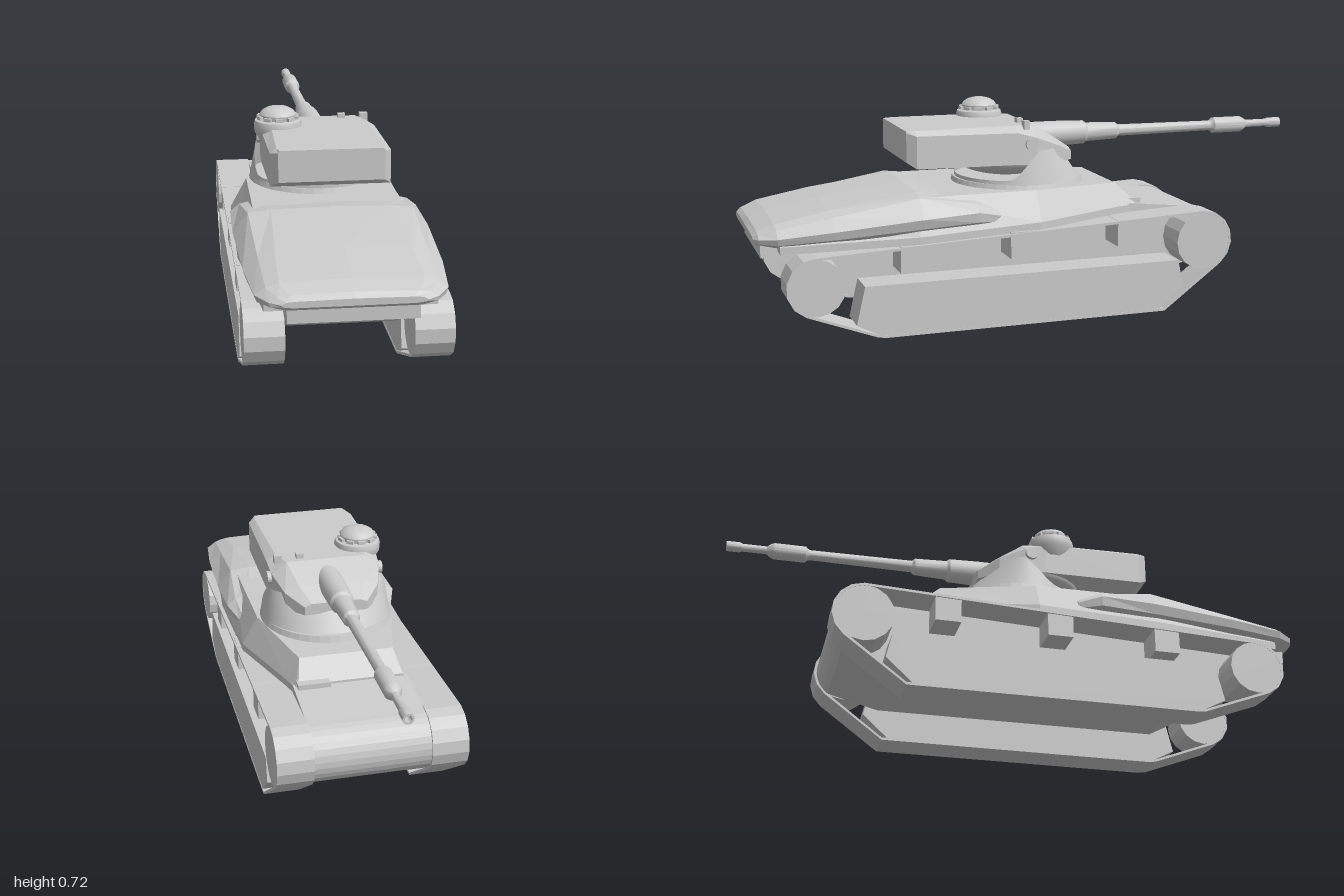
import * as THREE from 'three';
import { toCreasedNormals } from 'three/addons/utils/BufferGeometryUtils.js';

const flat = new THREE.MeshStandardMaterial({ color: 0xcccccc, flatShading: true });
const smooth = new THREE.MeshStandardMaterial({ color: 0xcccccc, side: THREE.DoubleSide });

// Skin mirrored half outlines [x, y] (top centre to bottom centre), ordered by rising z.
function loft(sections, crease = 0.5) {
  const rings = sections.map(([z, half]) => {
    const other = half.filter(p => p[0] > 0).reverse().map(([x, y]) => [-x, y]);
    return [...half, ...other].map(([x, y]) => [x, y, z]);
  });
  const pos = [], n = rings[0].length;
  const tri = (...pts) => pts.forEach(p => pos.push(...p));
  for (let i = 0; i < rings.length - 1; i++) {
    for (let j = 0; j < n; j++) {
      const k = (j + 1) % n, a = rings[i], b = rings[i + 1];
      tri(a[j], b[j], a[k]);
      tri(a[k], b[j], b[k]);
    }
  }
  const first = rings[0], last = rings[rings.length - 1];
  for (let j = 1; j < n - 1; j++) {
    tri(first[0], first[j], first[j + 1]);
    tri(last[0], last[j + 1], last[j]);
  }
  const g = new THREE.BufferGeometry();
  g.setAttribute('position', new THREE.Float32BufferAttribute(pos, 3));
  return toCreasedNormals(g, crease);
}

// Extrude a side outline of [z, y] points across x, centred on x.
function sidePlate(points, width, x = 0, hole) {
  const v = pts => pts.map(p => new THREE.Vector2(p[0], p[1]));
  const shape = new THREE.Shape(v(points));
  if (hole) shape.holes.push(new THREE.Path(v(hole)));
  const g = new THREE.ExtrudeGeometry(shape, { depth: width, bevelEnabled: false });
  return g.rotateY(-Math.PI / 2).translate(x + width / 2, 0, 0);
}

// Arc of [z, y] points around a centre, angles in degrees.
function arc(z, y, r, from, to, steps) {
  return Array.from({ length: steps + 1 }, (_, i) => {
    const a = THREE.MathUtils.degToRad(from + (to - from) * i / steps);
    return [z + r * Math.cos(a), y + r * Math.sin(a)];
  });
}

function add(parent, name, geometry, material = flat, x = 0, y = 0, z = 0) {
  const m = new THREE.Mesh(geometry, material);
  m.name = name;
  m.position.set(x, y, z);
  parent.add(m);
  return m;
}

function buildTrack(side) {
  const track = new THREE.Group(), x = side * 0.257, w = 0.123;
  track.name = side > 0 ? 'leftTrack' : 'rightTrack';
  // Belt wrapping both end wheels
  const belt = t => [
    ...arc(0.815, 0.185, 0.1 - t, -68, 92, 6),
    ...arc(-0.545, 0.24, 0.107 - t, 92, 232, 6),
    [-0.4, t], [-0.37, t], [0.59, t], [0.62, t + 0.004],
  ];
  add(track, 'trackBelt', sidePlate(belt(0), w, x, belt(0.009)));
  // Solid skirt over the running wheels
  add(track, 'lowerTrackBlock', sidePlate(
    [[0.66, 0.178], [0.69, 0.05], [0.6, 0.004], [-0.375, 0.004], [-0.47, 0.09], [-0.45, 0.178]], w - 0.002, x));
  // End wheels
  for (const [name, z, y, r] of [['rearWheel', 0.815, 0.185, 0.094], ['frontWheel', -0.545, 0.24, 0.1]]) {
    add(track, name, new THREE.CylinderGeometry(r, r, w - 0.002, 16).rotateZ(Math.PI / 2), flat, x, y, z);
  }
  // Return supports under the top run
  for (const [z, y] of [[0.495, 0.255], [0.118, 0.275], [-0.267, 0.288]]) {
    add(track, 'returnSupport', new THREE.BoxGeometry(w - 0.01, 0.09, 0.088), flat, x, y, z);
  }
  return track;
}

function buildHull() {
  const hull = new THREE.Group();
  hull.name = 'hull';
  add(hull, 'lowerHull', toCreasedNormals(sidePlate([
    [0.975, 0.27], [0.975, 0.325], [0.5, 0.34], [-0.33, 0.365],
    ...arc(-0.54, 0.24, 0.102, 88, 235, 12), [-0.42, 0.11], [0.6, 0.11], [0.9, 0.27],
  ], 0.394), 0.5));
  // Sloped fighting compartment
  const deck = (z, top, topW, low, lowW) => [z, [[0, top], [topW, top], [lowW, low], [lowW, low - 0.025], [0, low - 0.025]]];
  add(hull, 'upperHull', loft([
    deck(-0.34, 0.372, 0.18, 0.36, 0.19),
    deck(-0.27, 0.437, 0.163, 0.36, 0.208),
    deck(0.05, 0.445, 0.245, 0.345, 0.3),
    deck(0.47, 0.445, 0.25, 0.325, 0.305),
    deck(0.92, 0.355, 0.2, 0.315, 0.26),
  ], 0.2));
  add(hull, 'driverHatch', new THREE.BoxGeometry(0.11, 0.018, 0.08), flat, 0.13, 0.372, -0.32);
  // Rounded rear engine shell with cheeks reaching forward
  add(hull, 'engineDeck', loft([
    [0.19, [[0, 0.40], [0.255, 0.40], [0.275, 0.39], [0.288, 0.375], [0.285, 0.355], [0.26, 0.34], [0, 0.34]]],
    [0.27, [[0, 0.43], [0.245, 0.43], [0.285, 0.42], [0.316, 0.395], [0.312, 0.362], [0.25, 0.328], [0, 0.328]]],
    [0.46, [[0, 0.46], [0.195, 0.456], [0.27, 0.448], [0.32, 0.385], [0.31, 0.352], [0.24, 0.31], [0, 0.32]]],
    [0.75, [[0, 0.422], [0.21, 0.416], [0.262, 0.4], [0.308, 0.362], [0.3, 0.335], [0.23, 0.308], [0, 0.315]]],
    [0.93, [[0, 0.388], [0.215, 0.382], [0.255, 0.37], [0.288, 0.347], [0.28, 0.325], [0.22, 0.306], [0, 0.31]]],
    [0.985, [[0, 0.366], [0.19, 0.361], [0.225, 0.355], [0.25, 0.342], [0.245, 0.328], [0.2, 0.316], [0, 0.316]]],
    [1.0, [[0, 0.35], [0.17, 0.348], [0.2, 0.346], [0.215, 0.338], [0.21, 0.332], [0.18, 0.328], [0, 0.328]]],
  ], 0.55));
  return hull;
}

function buildTurret() {
  const turret = new THREE.Group();
  turret.name = 'turret';
  add(turret, 'turretRing', new THREE.CylinderGeometry(0.228, 0.235, 0.022, 40), flat, 0, 0.45, 0.04);
  // Cradle collar, low behind and high at the trunnions
  const collar = new THREE.CylinderGeometry(1, 1, 1, 48, 4, true), p = collar.attributes.position;
  for (let i = 0; i < p.count; i++) {
    const t = p.getY(i) + 0.5, x = p.getX(i), z = p.getZ(i);
    const height = 0.015 + 0.1 * THREE.MathUtils.smoothstep(-z, -0.45, 0.15);
    const h = t * height;
    p.setXYZ(i, x * (0.23 - 0.18 * h), 0.458 + h, 0.04 + z * (z < 0 ? 0.215 - 0.7 * h : 0.22));
  }
  collar.computeVertexNormals();
  add(turret, 'cradleCollar', collar, smooth);
  // Rounded underside of the tilting part
  add(turret, 'turretBowl', new THREE.SphereGeometry(1, 32, 10, 0, Math.PI * 2, Math.PI / 2, Math.PI / 2)
    .scale(0.197, 0.068, 0.19), smooth, 0, 0.535, 0.08);
  // Angular upper body with sloped face and bustle
  const body = (z, top, roofW, edge, w, low) => [z, [[0, top], [roofW, top], [w, edge], [w, low], [0, low]]];
  add(turret, 'turretBody', loft([
    body(-0.125, 0.56, 0.085, 0.55, 0.11, 0.52),
    body(-0.06, 0.602, 0.115, 0.58, 0.165, 0.52),
    body(0.03, 0.655, 0.14, 0.615, 0.193, 0.522),
    body(0.1, 0.656, 0.165, 0.635, 0.198, 0.526),
    body(0.45, 0.656, 0.175, 0.64, 0.196, 0.53),
    body(0.48, 0.655, 0.168, 0.648, 0.172, 0.55),
  ], 0.25));
  // Trunnion caps and side fittings
  for (const s of [-1, 1]) {
    add(turret, 'trunnionCap', new THREE.CylinderGeometry(0.022, 0.022, 0.02, 16).rotateZ(Math.PI / 2), flat, s * 0.197, 0.595, 0.05);
  }
  // Roof fittings
  add(turret, 'roofPeriscope', new THREE.BoxGeometry(0.025, 0.022, 0.022), flat, 0.088, 0.66, 0.06);
  add(turret, 'roofSight', new THREE.BoxGeometry(0.028, 0.03, 0.02), flat, 0.165, 0.657, 0.06);

  // Commander's cupola with vision blocks
  const cupola = new THREE.Group();
  cupola.name = 'cupola';
  cupola.position.set(-0.14, 0, 0.135);
  const profile = [[0.06, 0.6], [0.08, 0.635], [0.082, 0.66], [0.078, 0.674], [0.06, 0.678], [0.062, 0.694],
    [0.054, 0.706], [0.038, 0.715], [0.018, 0.72], [0, 0.721]].map(q => new THREE.Vector2(...q));
  add(cupola, 'cupolaDome', toCreasedNormals(new THREE.LatheGeometry(profile, 28), 0.5), smooth);
  for (let i = 0; i < 10; i++) {
    const a = i / 10 * Math.PI * 2;
    const block = add(cupola, 'visionBlock', new THREE.BoxGeometry(0.026, 0.011, 0.014), flat,
      Math.sin(a) * 0.064, 0.684, Math.cos(a) * 0.064);
    block.rotation.y = a;
  }
  turret.add(cupola);

  // Gun pointing toward -z: stepped sleeve, barrel, fume sleeve and muzzle
  const gun = [[0.045, 0.04], [0.045, -0.1], [0.042, -0.21], [0.034, -0.22], [0.03, -0.335], [0.021, -0.345],
    [0.018, -0.71], [0.023, -0.72], [0.029, -0.725], [0.029, -0.835], [0.022, -0.85], [0.014, -0.86],
    [0.014, -0.945], [0.018, -0.955], [0.018, -1], [0.011, -1], [0.011, -0.95], [0, -0.95]]
    .map(([r, z]) => new THREE.Vector2(r, -z));
  add(turret, 'gun', toCreasedNormals(new THREE.LatheGeometry(gun, 20).rotateX(-Math.PI / 2), 0.5), smooth, 0, 0.596, 0);
  return turret;
}

export function createModel() {
  const tank = new THREE.Group();
  tank.name = 'tank';
  tank.add(buildHull(), buildTurret(), buildTrack(1), buildTrack(-1));
  return tank;
}
